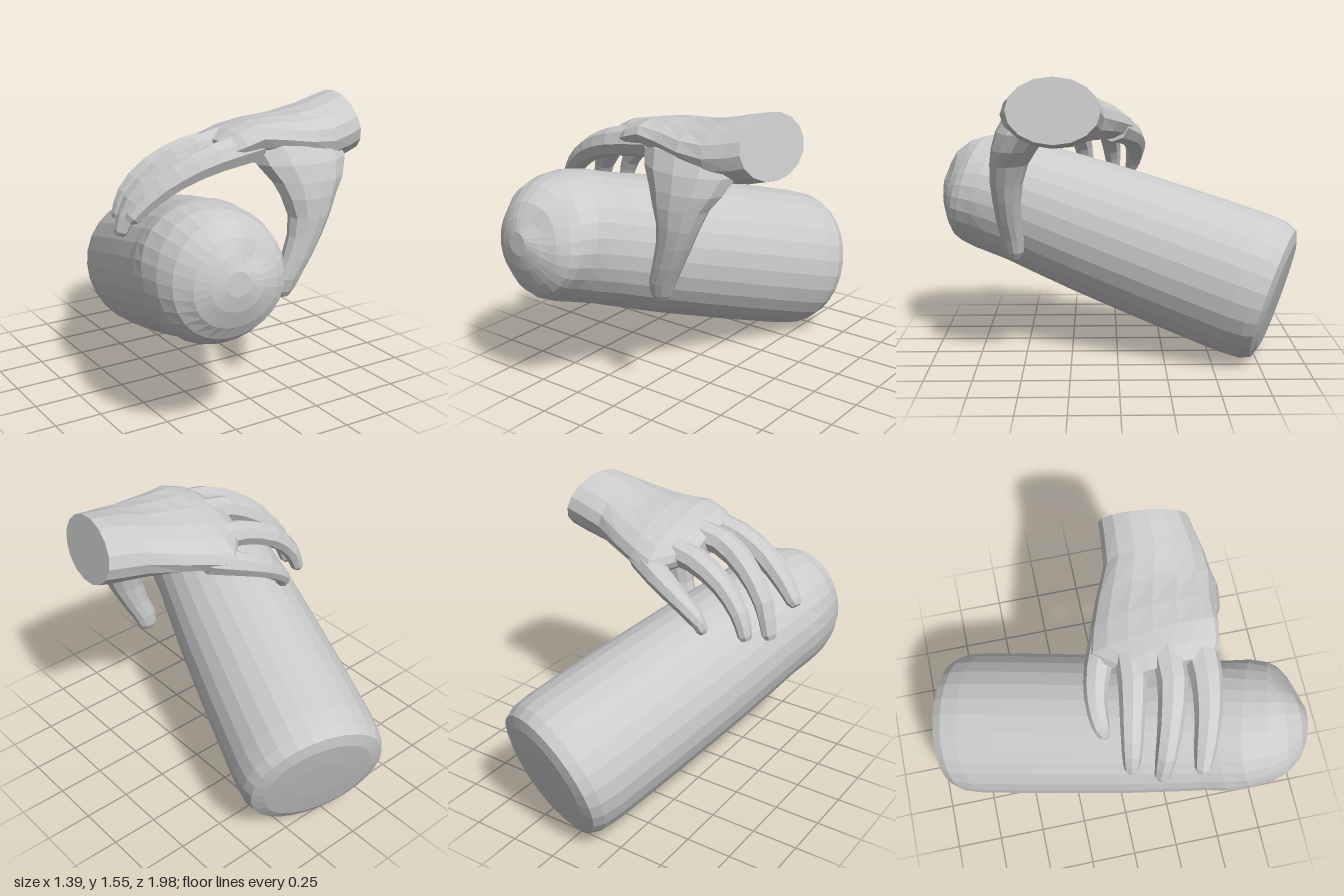
import * as THREE from 'three';

const V = (x, y, z) => new THREE.Vector3(x, y, z);
const UP = V(0, 1, 0);
const material = new THREE.MeshStandardMaterial({ color: 0xcccccc, flatShading: true });

// Skin over oval sections { c, u, v }, where u x v points along the run; both ends closed
function loft(name, sections, sides, warp = (p) => p) {
  const pos = [], index = [];
  sections.forEach(({ c, u, v }, i) => {
    for (let j = 0; j < sides; j++) {
      const a = (j / sides) * Math.PI * 2;
      const p = c.clone().addScaledVector(u, Math.cos(a)).addScaledVector(v, Math.sin(a));
      pos.push(...warp(p, a, i).toArray());
    }
  });
  const n = sections.length;
  for (let i = 0; i < n - 1; i++) {
    for (let j = 0; j < sides; j++) {
      const k = (j + 1) % sides, a = i * sides, b = a + sides;
      index.push(a + j, a + k, b + k, a + j, b + k, b + j);
    }
  }
  const end = n * sides;
  pos.push(...sections[0].c.toArray(), ...sections[n - 1].c.toArray());
  for (let j = 0; j < sides; j++) {
    const k = (j + 1) % sides, last = (n - 1) * sides;
    index.push(end, k, j, end + 1, last + j, last + k);
  }
  const g = new THREE.BufferGeometry();
  g.setAttribute('position', new THREE.Float32BufferAttribute(pos, 3));
  g.setIndex(index);
  g.computeVertexNormals();
  const mesh = new THREE.Mesh(g, material);
  mesh.name = name;
  return mesh;
}

// Section facing along direction t: half width w, half height h
function section(c, t, w, h = w) {
  const u = UP.clone().cross(t).normalize();
  const v = t.clone().normalize().cross(u);
  return { c, u: u.multiplyScalar(w), v: v.multiplyScalar(h) };
}

// Finger along a smooth path, with a rounded tip
function finger(name, points, radii) {
  const curve = new THREE.CatmullRomCurve3(points.map((p) => V(...p)));
  const steps = 8, sections = [];
  for (let i = 0; i <= steps; i++) {
    const t = i / steps, f = t * (radii.length - 1), k = Math.min(Math.floor(f), radii.length - 2);
    const r = THREE.MathUtils.lerp(radii[k], radii[k + 1], f - k);
    sections.push(section(curve.getPoint(t), curve.getTangent(t), r, r * 0.92));
  }
  const tangent = curve.getTangent(1), r = radii[radii.length - 1];
  sections.push(section(curve.getPoint(1).addScaledVector(tangent, r * 0.6), tangent, r * 0.6));
  return loft(name, sections, 8);
}

function createLog() {
  const axis = V(-0.33, 0.32, 1), frontAxis = V(-0.1, 0.05, 1);
  // [z of the centre, radius, turn of the section towards the front]
  const profile = [[-0.865, 0.15, 0], [-0.86, 0.3, 0], [-0.84, 0.365, 0], [-0.79, 0.39, 0], [-0.7, 0.398, 0],
    [-0.5, 0.395, 0], [-0.3, 0.39, 0], [-0.1, 0.383, 0], [0.1, 0.375, 0], [0.3, 0.362, 0], [0.48, 0.348, 0],
    [0.6, 0.347, 0], [0.7, 0.34, 0.1], [0.8, 0.315, 0.4], [0.87, 0.28, 0.7], [0.93, 0.215, 1],
    [0.965, 0.135, 1], [0.982, 0.06, 1]];
  const sections = profile.map(([z, r, turn]) => {
    const c = V(-0.145, 0.635, 0).addScaledVector(axis, z).add(V(0.075 * turn, -0.07 * turn, 0));
    return section(c, axis.clone().lerp(frontAxis, turn), r);
  });
  // Lumpy front with a curved groove across its upper part
  return loft('log', sections, 28, (p, a, i) => {
    if (i < 12) return p;
    const groove = i > 13 && i < 17 ? 0.03 * Math.exp(-(((a - 0.9) / 0.6) ** 2)) : 0;
    const lump = 1 + 0.025 * Math.sin(3 * a + i * 0.6);
    const { c } = sections[i];
    return p.sub(c).multiplyScalar(lump).add(c).addScaledVector(frontAxis, -groove);
  });
}

function createHand() {
  const hand = new THREE.Group();
  hand.name = 'hand';

  // Wrist to knuckles: [x, y, z, half width, half thickness, tilt, lean over z, lean over y]
  const palm = [
    [0.66, 1.4, 0.32, 0.23, 0.16, 0, -0.13, -0.21],
    [0.58, 1.38, 0.325, 0.24, 0.165, 0, -0.1, -0.15],
    [0.45, 1.355, 0.33, 0.26, 0.16, 0.03, -0.04, -0.05],
    [0.3, 1.345, 0.295, 0.3, 0.135, 0.1, 0, 0],
    [0.15, 1.34, 0.25, 0.315, 0.125, 0.18, 0, 0],
    [0.03, 1.335, 0.23, 0.33, 0.11, 0.24, 0, 0],
    [-0.07, 1.335, 0.28, 0.265, 0.095, 0.18, 0, 0],
    [-0.14, 1.33, 0.31, 0.2, 0.06, 0.12, 0, 0],
  ].map(([x, y, z, w, t, tilt, lz, ly]) => ({
    c: V(x, y, z), u: V(lz, tilt, 1).multiplyScalar(w), v: V(ly, 1, 0).multiplyScalar(t),
  }));
  hand.add(loft('palm', palm, 16));

  // Thumb, spreading out of the palm and running down: [y, x, z, half width, half depth]
  const thumb = [
    [1.44, 0.28, 0.38, 0.22, 0.1], [1.36, 0.28, 0.43, 0.28, 0.145], [1.27, 0.3, 0.48, 0.265, 0.145],
    [1.18, 0.31, 0.53, 0.21, 0.12], [1.1, 0.3, 0.56, 0.16, 0.1], [1.0, 0.295, 0.575, 0.118, 0.085],
    [0.9, 0.27, 0.577, 0.098, 0.074], [0.78, 0.225, 0.57, 0.083, 0.066],
    [0.68, 0.18, 0.557, 0.075, 0.06], [0.61, 0.163, 0.548, 0.06, 0.048], [0.576, 0.162, 0.546, 0.035, 0.028],
  ].map(([y, x, z, w, d]) => ({ c: V(x, y, z), u: V(w, 0, 0), v: V(0, 0, d) }));
  hand.add(loft('thumb', thumb, 12));

  hand.add(
    finger('indexFinger',
      [[0.05, 1.36, 0.44], [-0.2, 1.32, 0.45], [-0.38, 1.25, 0.425], [-0.52, 1.15, 0.385], [-0.6, 1.065, 0.36]],
      [0.095, 0.082, 0.07, 0.058, 0.044]),
    finger('middleFinger',
      [[0.05, 1.365, 0.28], [-0.2, 1.335, 0.28], [-0.38, 1.24, 0.235], [-0.51, 1.1, 0.19], [-0.565, 0.94, 0.165]],
      [0.09, 0.078, 0.066, 0.056, 0.042]),
    finger('ringFinger',
      [[0.05, 1.315, 0.11], [-0.15, 1.29, 0.09], [-0.34, 1.21, 0.05], [-0.46, 1.09, 0.025], [-0.505, 0.98, 0.015]],
      [0.085, 0.074, 0.062, 0.052, 0.04]),
    finger('littleFinger',
      [[0.13, 1.27, 0.02], [-0.02, 1.22, -0.06], [-0.16, 1.155, -0.1], [-0.27, 1.07, -0.1], [-0.305, 1.005, -0.085]],
      [0.085, 0.07, 0.058, 0.048, 0.037]),
  );
  return hand;
}

export function createModel() {
  const model = new THREE.Group();
  model.name = 'handOnLog';
  model.add(createLog(), createHand());
  return model;
}
